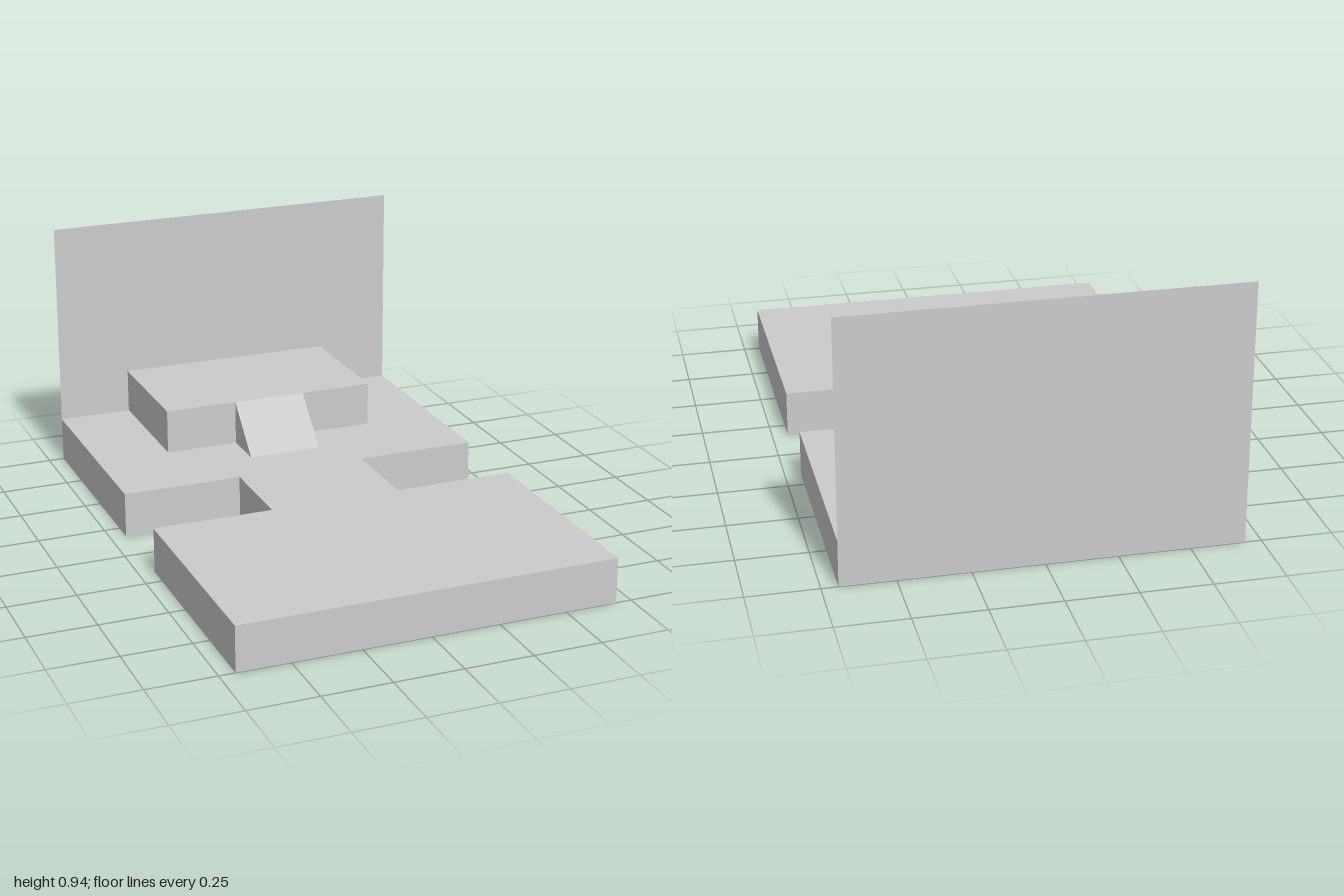
import * as THREE from 'three';

const material = new THREE.MeshStandardMaterial({
  color: 0xcccccc, flatShading: true, side: THREE.DoubleSide,
});

const FACES = ['right', 'left', 'top', 'bottom', 'front', 'back'];

function addMesh(parent, name, geometry) {
  const mesh = new THREE.Mesh(geometry, material);
  mesh.name = name;
  parent.add(mesh);
  return mesh;
}

// Thin box shell between two corners, keeping only the named faces
function shell(parent, name, [x0, y0, z0], [x1, y1, z1], keep) {
  const geometry = new THREE.BoxGeometry(x1 - x0, y1 - y0, z1 - z0);
  const index = Array.from(geometry.index.array);
  geometry.setIndex(index.filter((_, i) => keep.includes(FACES[Math.floor(i / 6)])));
  geometry.clearGroups();
  geometry.translate((x0 + x1) / 2, (y0 + y1) / 2, (z0 + z1) / 2);
  return addMesh(parent, name, geometry);
}

export function createModel() {
  const model = new THREE.Group();
  model.name = 'platformWithBackboard';
  const W = 0.692, deck = 0.167, top = 0.333, gap = 0.168;

  // Hollow decks, open underneath, joined by a narrow bridge
  shell(model, 'frontDeck', [-W, 0, gap], [W, deck, 1], ['right', 'left', 'top', 'front', 'back']);
  shell(model, 'rearDeck', [-W, 0, -1], [W, deck, -gap], ['right', 'left', 'top', 'front']);
  shell(model, 'bridge', [-0.248, 0, -gap], [0.244, deck, gap], ['right', 'left', 'top']);

  // Raised stage against the backboard
  const stageFront = -0.503, rampFoot = -0.335;
  shell(model, 'stage', [-0.415, deck, -1], [0.412, top, stageFront], ['right', 'left', 'top', 'front']);

  // Backboard sheet
  const height = 0.944;
  addMesh(model, 'backboard', new THREE.PlaneGeometry(2 * W, height)).position.set(0, height / 2, -1);

  // Ramp: sloping face with two triangular cheeks
  const ramp = new THREE.Group();
  ramp.name = 'ramp';
  const left = -0.14, right = 0.137;
  const run = rampFoot - stageFront, rise = top - deck;
  const slope = new THREE.PlaneGeometry(right - left, Math.hypot(run, rise));
  slope.rotateX(-Math.atan2(run, rise));
  slope.translate((left + right) / 2, deck + rise / 2, (stageFront + rampFoot) / 2);
  addMesh(ramp, 'rampSlope', slope);
  const triangle = new THREE.Shape([
    new THREE.Vector2(stageFront, deck),
    new THREE.Vector2(rampFoot, deck),
    new THREE.Vector2(stageFront, top),
  ]);
  for (const x of [left, right]) {
    const cheek = new THREE.ShapeGeometry(triangle).rotateY(-Math.PI / 2);
    addMesh(ramp, 'rampCheek', cheek).position.x = x;
  }
  model.add(ramp);
  return model;
}
